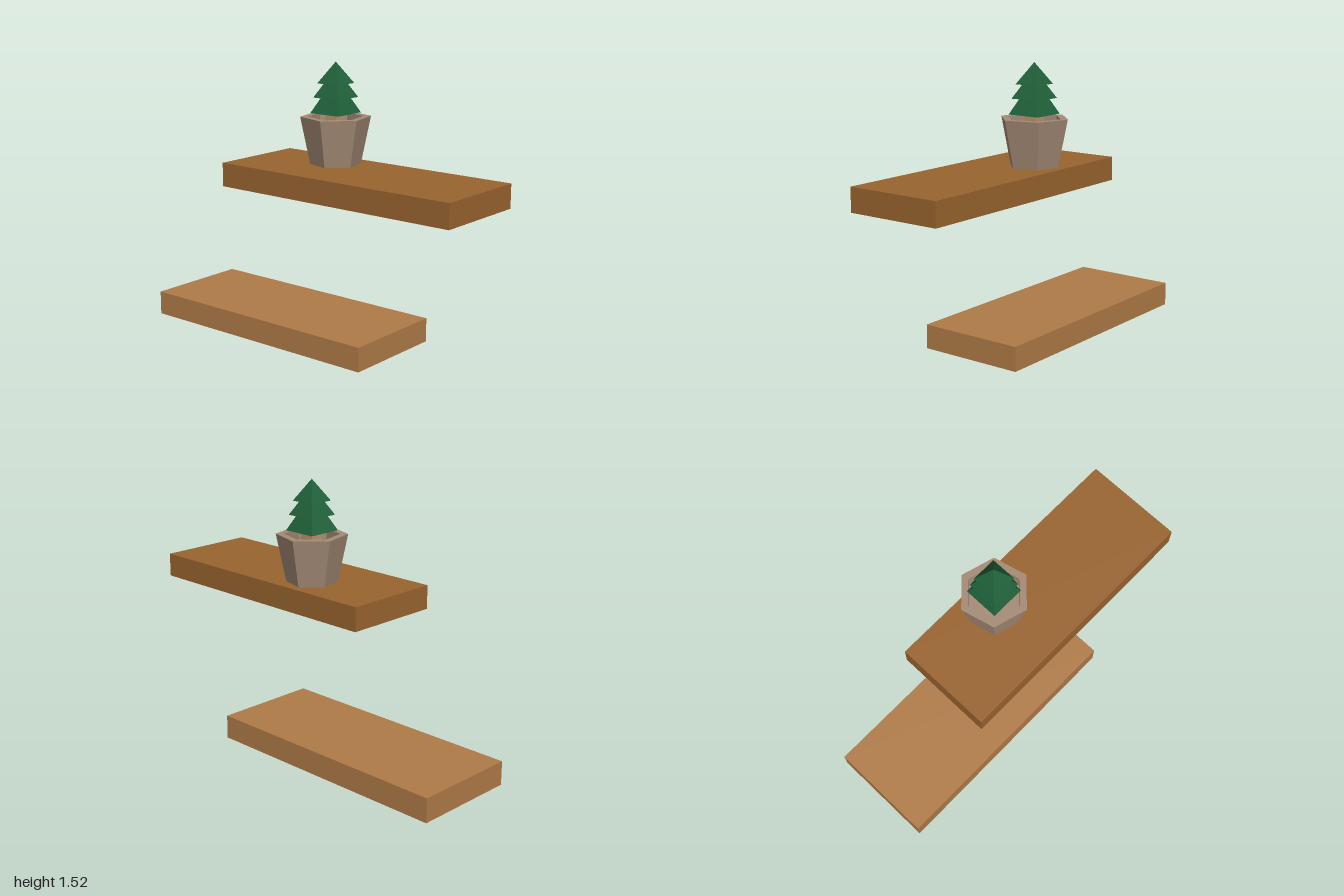
import * as THREE from 'three';

const CX = 0.073, CZ = 0.0135; // planter axis

function mat(color) {
  return new THREE.MeshStandardMaterial({ color, flatShading: true });
}

function add(group, name, geometry, material, x, y, z) {
  const mesh = new THREE.Mesh(geometry, material);
  mesh.name = name;
  mesh.position.set(x, y, z);
  group.add(mesh);
  return mesh;
}

// Box given by its minimum and maximum corners
function slab(group, name, min, max, color) {
  const size = max.map((v, i) => v - min[i]);
  const mid = max.map((v, i) => (v + min[i]) / 2);
  return add(group, name, new THREE.BoxGeometry(...size), mat(color), ...mid);
}

export function createModel() {
  const model = new THREE.Group();
  model.name = 'plantShelves';

  // Two staggered shelf boards
  slab(model, 'lowerBoard', [-0.3, 0, -1], [0.3, 0.133, 0.47], 0xb07b47);
  slab(model, 'upperBoard', [-0.3, 0.84, -0.47], [0.25, 0.97, 1], 0x99642f);

  // Hollow six-sided pot, flaring upwards
  const profile = [
    [0, 0.97], [0.137, 0.97], [0.19, 1.228], [0.148, 1.228], [0.148, 1.13], [0, 1.13],
  ].map(([r, y]) => new THREE.Vector2(r, y));
  const pot = add(model, 'pot', new THREE.LatheGeometry(profile, 6), mat(0xa58b76), CX, 0, CZ);
  pot.rotation.y = -0.28;

  // Little tree: square trunk and three stacked pyramids
  const tree = new THREE.Group();
  tree.name = 'tree';
  tree.position.set(CX, 0, CZ);
  model.add(tree);
  slab(tree, 'trunk', [-0.038, 1.13, -0.038], [0.038, 1.26, 0.038], 0xb8946c);

  const green = mat(0x1f6039);
  // Half width, base height, apex height
  [[0.096, 1.247, 1.44], [0.085, 1.33, 1.485], [0.07, 1.405, 1.52]].forEach(([half, base, top], i) => {
    const cone = new THREE.ConeGeometry(half * Math.SQRT2, top - base, 4);
    cone.rotateY(Math.PI / 4);
    add(tree, `foliageTier${i + 1}`, cone, green, 0, (base + top) / 2, 0);
  });

  return model;
}
